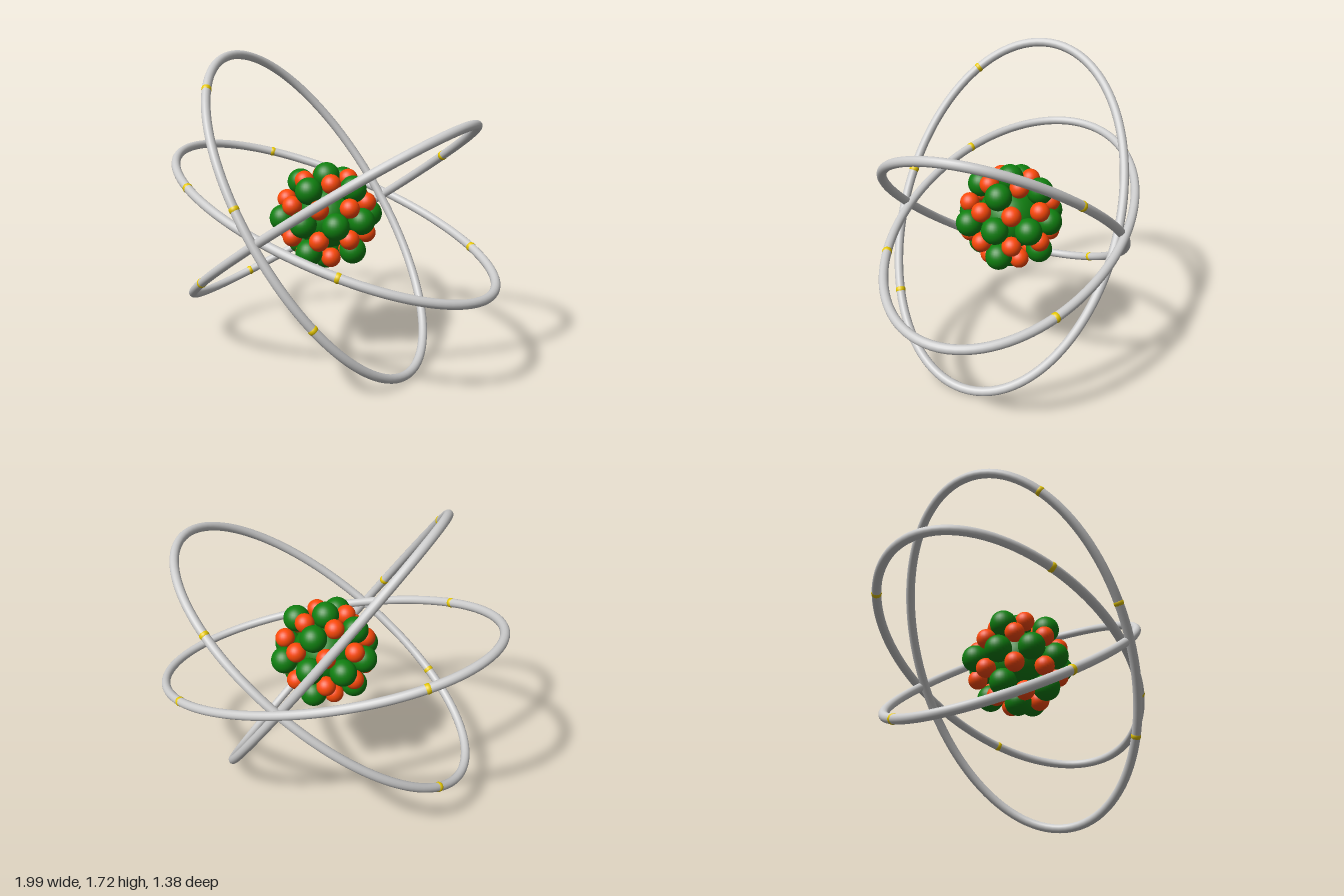
import * as THREE from 'three';

const CENTRE_Y = 0.832;
const MAJOR = 1.016, MINOR = 0.64, TUBE = 0.025;

// Closed ellipse lying in a plane that contains the z axis
class OrbitCurve extends THREE.Curve {
  constructor(centre, tilt) {
    super();
    this.centre = centre;
    this.tilt = tilt;
  }
  getPoint(t, target = new THREE.Vector3()) {
    const a = t * Math.PI * 2, r = MAJOR * Math.cos(a);
    return target.set(r * Math.cos(this.tilt), r * Math.sin(this.tilt), MINOR * Math.sin(a)).add(this.centre);
  }
}

// Tilt of the long axis, centre, and electron positions (degrees round the ellipse)
const ORBITS = [
  { name: 'steepOrbit', tilt: 124.8, centre: [-0.03, 0.86, 0.023], electrons: [35.5, 81, 123] },
  { name: 'shallowOrbit', tilt: 163.1, centre: [0, 0.834, -0.025], electrons: [53.5, 116, 227, 317] },
  { name: 'risingOrbit', tilt: 34.8, centre: [0, 0.825, 0], electrons: [-58, 124, 204] },
];

export function createModel() {
  const model = new THREE.Group();
  const paint = (color) => new THREE.MeshStandardMaterial({ color });
  const grey = paint(0xcccccc), green = paint(0x108010), orange = paint(0xff4a08), yellow = paint(0xe6c800);

  const addBall = (parent, name, geometry, material, position) => {
    const ball = new THREE.Mesh(geometry, material);
    ball.name = name;
    ball.position.copy(position);
    parent.add(ball);
  };

  // Nucleus: balls on the axes, edge midpoints and between them, around a core
  const nucleus = new THREE.Group();
  nucleus.name = 'nucleus';
  nucleus.position.y = CENTRE_Y;
  model.add(nucleus);
  const bigBall = new THREE.SphereGeometry(0.074, 28, 18);
  const smallBall = new THREE.SphereGeometry(0.054, 24, 16);
  addBall(nucleus, 'core', new THREE.SphereGeometry(0.18, 32, 20), green, new THREE.Vector3());

  const signs = [-1, 1];
  for (let axis = 0; axis < 3; axis++) {
    const place = (a, b, c) => {
      const p = new THREE.Vector3();
      p.setComponent(axis, a);
      p.setComponent((axis + 1) % 3, b);
      p.setComponent((axis + 2) % 3, c);
      return p;
    };
    for (const s of signs) {
      addBall(nucleus, 'proton', bigBall, green, place(s * 0.228, 0, 0));
      for (const u of signs) {
        addBall(nucleus, 'proton', bigBall, green, place(0, s * 0.173, u * 0.173));
        for (const v of signs) {
          addBall(nucleus, 'neutron', smallBall, orange, place(s * 0.206, u * 0.087, v * 0.087));
        }
      }
    }
  }

  // Elliptical orbits with their electrons threaded on the tube
  const electronBall = new THREE.SphereGeometry(0.0275, 20, 14);
  for (const { name, tilt, centre, electrons } of ORBITS) {
    const orbit = new THREE.Group();
    orbit.name = name;
    const curve = new OrbitCurve(new THREE.Vector3(...centre), THREE.MathUtils.degToRad(tilt));
    const ring = new THREE.Mesh(new THREE.TubeGeometry(curve, 128, TUBE, 16, true), grey);
    ring.name = 'orbitRing';
    orbit.add(ring);
    for (const angle of electrons) {
      addBall(orbit, 'electron', electronBall, yellow, curve.getPoint(angle / 360));
    }
    model.add(orbit);
  }
  return model;
}
